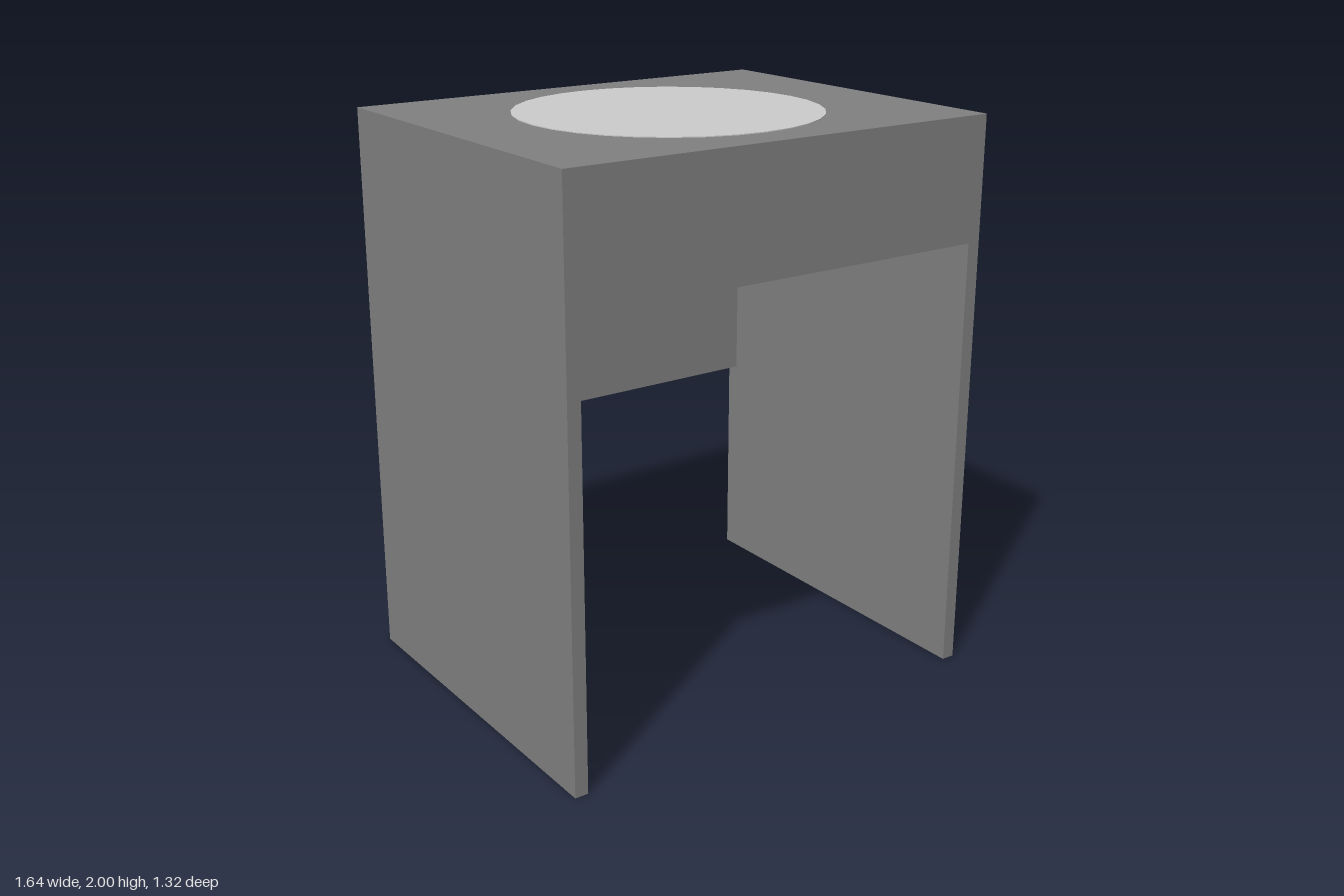
import * as THREE from 'three';

export function createModel() {
  const group = new THREE.Group();
  const body = new THREE.MeshStandardMaterial({ color: 0x808080 });
  const pale = new THREE.MeshStandardMaterial({ color: 0xcccccc });

  const W = 1.64, D = 1.315, T = 0.048; // overall width, depth, board thickness
  const TOP = 1.997, SLAB = 0.07;
  const under = TOP - SLAB;
  const inner = W - 2 * T;

  // Box given by its bottom, top, depth range and centre x
  function board(name, width, y0, y1, z0, z1, x = 0) {
    const mesh = new THREE.Mesh(new THREE.BoxGeometry(width, y1 - y0, z1 - z0), body);
    mesh.position.set(x, (y0 + y1) / 2, (z0 + z1) / 2);
    mesh.name = name;
    group.add(mesh);
  }

  board('tableTop', W, under, TOP, -D / 2, D / 2);

  // Full-depth side panels that act as legs
  for (const [name, s] of [['leftSidePanel', 1], ['rightSidePanel', -1]]) {
    board(name, T, 0, under, -D / 2, D / 2, s * (W - T) / 2);
  }

  // Deep back panel and the shallower compartment under the top
  board('backPanel', inner, 0.795, under, -D / 2, -D / 2 + T);
  board('underTopCompartment', inner, 1.565, under, -D / 2 + T, D / 2);

  // Thin round plate laid on the top
  const plate = new THREE.Mesh(new THREE.CylinderGeometry(0.525, 0.525, 0.02, 32), pale);
  plate.position.y = 2 - 0.01;
  plate.name = 'roundPlate';
  group.add(plate);

  return group;
}
